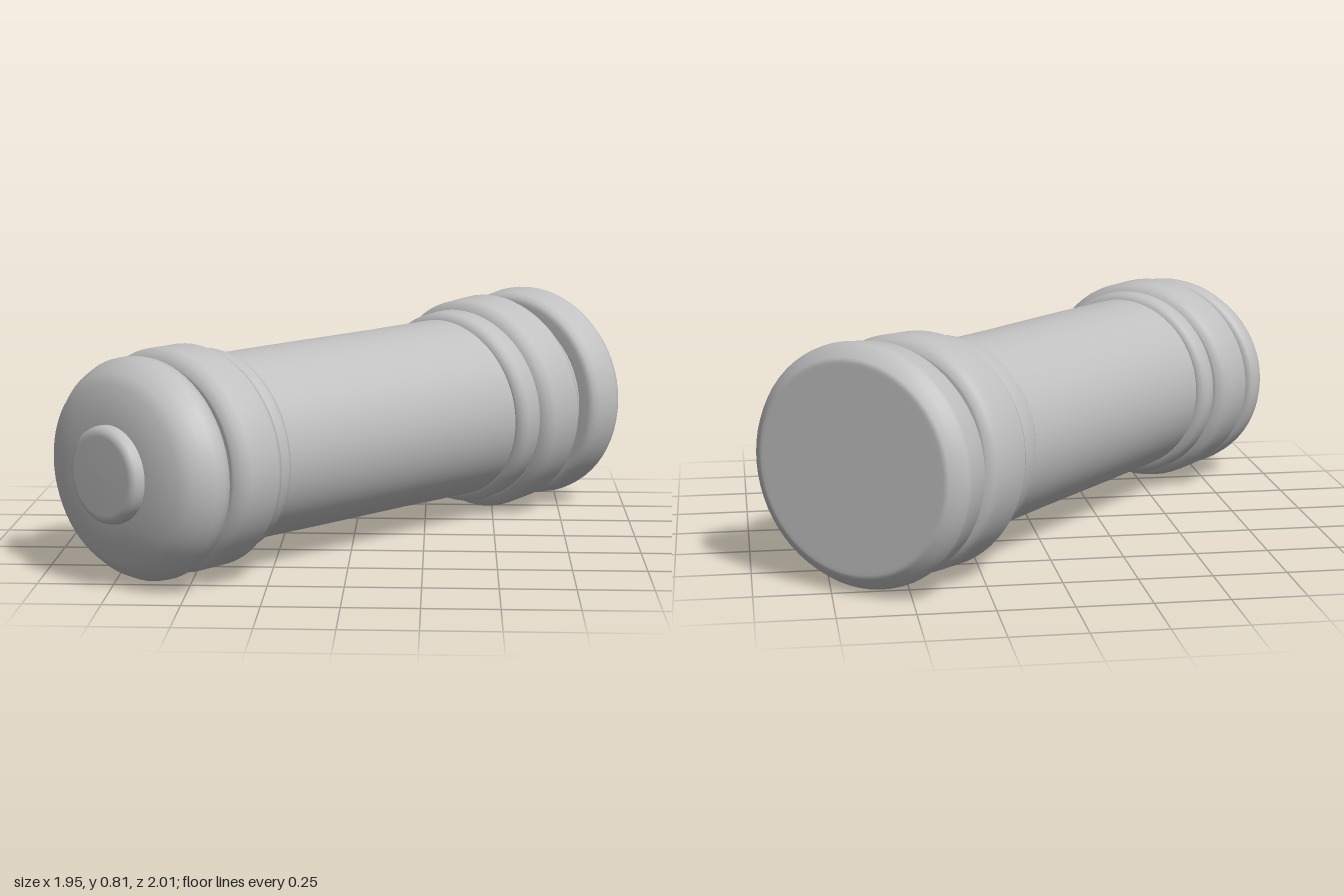
import * as THREE from 'three';

export function createModel() {
  const model = new THREE.Group();
  model.name = 'capsule';
  const grey = new THREE.MeshStandardMaterial({ color: 0xc0c0c0 });
  grey.name = 'grey';

  // Working frame: local y runs along the lying cylinder, local z points up.
  const axis = new THREE.Group();
  axis.name = 'lyingCylinder';
  const along = new THREE.Vector3(0.669, 0, -0.743).normalize();
  const across = new THREE.Vector3(-along.z, 0, along.x);
  axis.quaternion.setFromRotationMatrix(
    new THREE.Matrix4().makeBasis(across, along, new THREE.Vector3(0, 1, 0)));
  axis.position.set(-0.035, 0, 0.035);
  model.add(axis);

  // Turned part: profile of [radius, distance along the axis] about a centre.
  function turned(name, profile, { t, x = 0, up, tiltX = 0, tiltZ = 0, squash = 1 }) {
    const points = profile.map(([r, d]) => new THREE.Vector2(r, d));
    const mesh = new THREE.Mesh(new THREE.LatheGeometry(points, 64), grey);
    mesh.name = name;
    mesh.position.set(x, t, up);
    mesh.rotation.set(tiltX, 0, tiltZ);
    mesh.scale.set(1, 1, squash);
    axis.add(mesh);
  }

  // Rounded band of given radius and half width, with soft bevels.
  const band = (r, h, bevel) => [
    [0.29, -h], [r - bevel - 0.01, -h], [r - bevel, -h],
    [r - bevel * 0.35, -h + bevel * 0.35], [r, -h + bevel],
    [r, h - bevel], [r - bevel * 0.35, h - bevel * 0.35],
    [r - bevel, h], [r - bevel - 0.01, h], [0.29, h],
  ];

  // Long body, slightly wider at the far end
  turned('body', [[0.318, -0.96], [0.319, -0.6], [0.323, -0.2], [0.325, 0.2], [0.331, 0.6], [0.333, 0.95]],
    { t: 0, x: -0.012, up: 0.396, tiltX: 0.006, tiltZ: -0.012 });

  // Bands at the far end
  turned('farThinRing', band(0.358, 0.06, 0.028),
    { t: 0.595, x: 0.003, up: 0.4, tiltX: 0.085, tiltZ: 0.05 });
  turned('farWideRing', band(0.395, 0.105, 0.04),
    { t: 0.752, x: -0.005, up: 0.4, tiltX: 0.08, tiltZ: 0.03 });

  // Far end cap with a flat face
  turned('farCap', [
    [0.29, -0.1], [0.37, -0.1], [0.39, -0.09], [0.402, -0.07], [0.413, 0.02], [0.411, 0.035],
    [0.395, 0.06], [0.368, 0.082], [0.36, 0.086], [0.352, 0.087], [0.34, 0.087], [0, 0.087],
  ], { t: 0.995, x: -0.003, up: 0.41, tiltX: 0.03, tiltZ: 0.045, squash: 0.97 });

  // Bands at the near end
  turned('nearThinRing', band(0.352, 0.045, 0.025),
    { t: -0.605, x: -0.022, up: 0.39, tiltX: 0.02, squash: 0.98 });
  turned('nearWideRing', band(0.396, 0.1, 0.04),
    { t: -0.738, x: -0.02, up: 0.387, tiltX: 0.015, tiltZ: 0.015, squash: 0.94 });

  // Near end cap with a gently domed face
  turned('nearCap', [
    [0, -0.125], [0.16, -0.122], [0.24, -0.112], [0.31, -0.092], [0.345, -0.07], [0.375, -0.035],
    [0.392, 0], [0.394, 0.03], [0.388, 0.055], [0.37, 0.07], [0.29, 0.07],
  ], { t: -0.935, x: -0.016, up: 0.376, squash: 0.93 });

  // Raised round knob on the near end
  turned('knob', [
    [0, -0.03], [0.135, -0.029], [0.15, -0.026], [0.163, -0.017], [0.168, 0], [0.168, 0.05],
  ], { t: -1.067, x: 0, up: 0.38, squash: 0.95 });

  return model;
}
